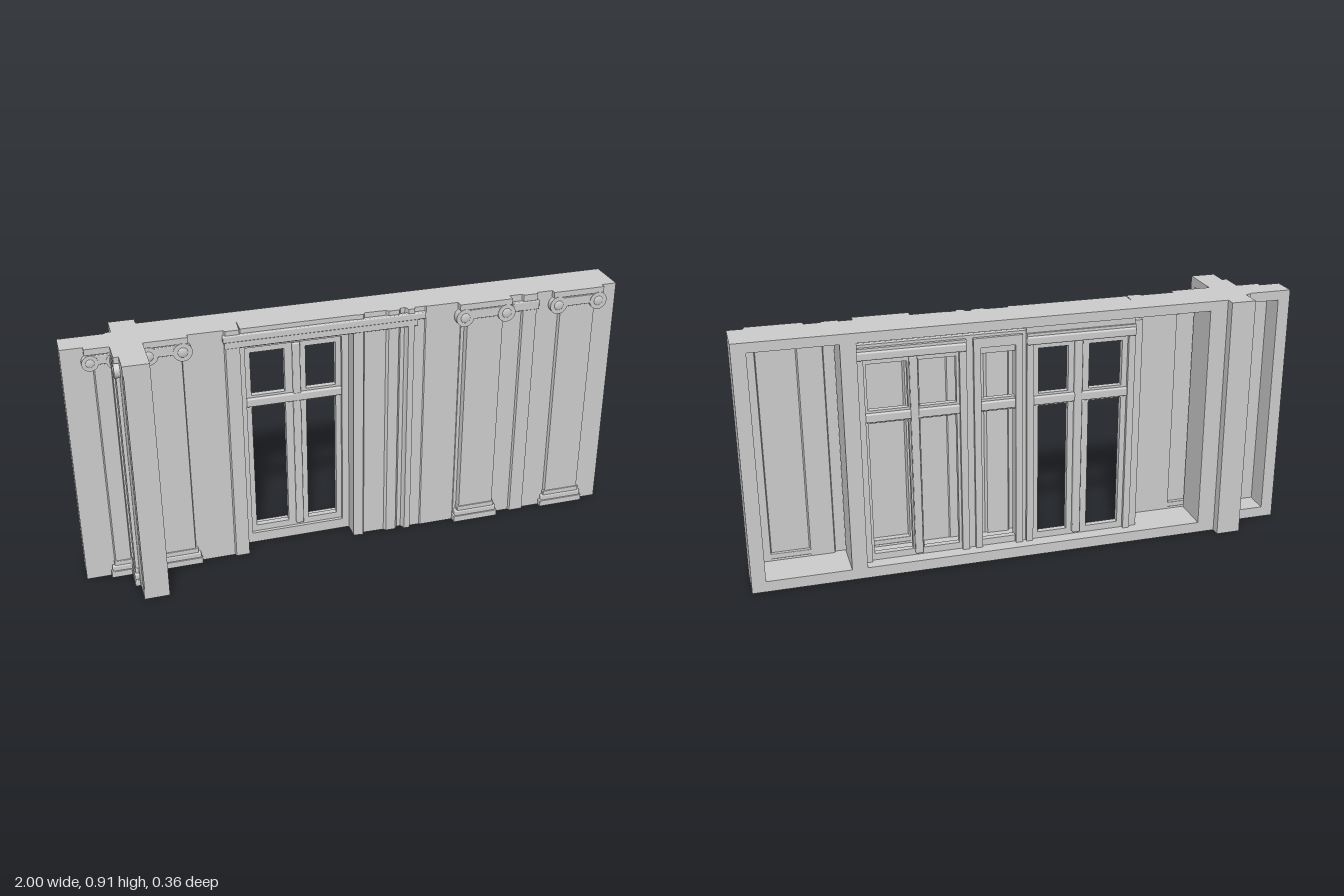
import * as THREE from 'three';
import { RoundedBoxGeometry } from 'three/addons/geometries/RoundedBoxGeometry.js';

const H = 0.91, RAIL = 0.04, TOP = 0.875;
const mat = new THREE.MeshStandardMaterial({ color: 0xcccccc });
const thin = new THREE.MeshStandardMaterial({ color: 0xcccccc, side: THREE.DoubleSide });

function add(parent, name, geo, material = mat) {
  const m = new THREE.Mesh(geo, material);
  m.name = name;
  parent.add(m);
  return m;
}

// Block given by its limits, optionally with rounded edges
function block(parent, name, x0, x1, y0, y1, z0, z1, r = 0) {
  const s = [x1 - x0, y1 - y0, z1 - z0];
  const g = r ? new RoundedBoxGeometry(...s, 2, r) : new THREE.BoxGeometry(...s);
  g.translate((x0 + x1) / 2, (y0 + y1) / 2, (z0 + z1) / 2);
  return add(parent, name, g);
}

// Thin upright skin following a plan profile of [x, z] points; steps behind the gap depth stay open
function skin(parent, profile, gapZ = -1) {
  const p = [];
  for (let i = 0; i < profile.length - 1; i++) {
    const [a, az] = profile[i], [b, bz] = profile[i + 1];
    if (az <= gapZ && bz <= gapZ) continue;
    p.push(a, RAIL, az, b, RAIL, bz, b, TOP, bz, a, RAIL, az, b, TOP, bz, a, TOP, az);
  }
  const g = new THREE.BufferGeometry();
  g.setAttribute('position', new THREE.Float32BufferAttribute(p, 3));
  g.computeVertexNormals();
  add(parent, 'reliefSkin', g, thin);
}

// Horizontal rail whose front edge follows the same profile
function rail(parent, name, profile, depth, y0, y1) {
  const pts = profile.map(([x, z]) => new THREE.Vector2(x, z));
  pts.push(new THREE.Vector2(profile[profile.length - 1][0], -depth), new THREE.Vector2(profile[0][0], -depth));
  const g = new THREE.ExtrudeGeometry(new THREE.Shape(pts), { depth: y1 - y0, bevelEnabled: false });
  g.rotateX(Math.PI / 2).translate(0, y1, 0);
  add(parent, name, g);
}

// Hollow panel: skin, top and bottom rails, upright stiles
function panel(name, profile, depth, stiles, gapZ) {
  const g = new THREE.Group();
  g.name = name;
  skin(g, profile, gapZ);
  rail(g, 'bottomRail', profile, depth, 0, RAIL);
  rail(g, 'topRail', profile, depth, TOP, H);
  stiles.forEach(([a, b]) => block(g, 'stile', a, b, RAIL, TOP, -depth, -0.003));
  return g;
}

// Scrolled capital and moulded base for a shaft from x0 to x1 with its face at z
function pilasterTrim(parent, x0, x1, z, flare = 0.025, r = 0.033) {
  const g = new THREE.Group();
  g.name = 'pilasterTrim';
  parent.add(g);
  for (const x of [x0 - flare + r * 0.6, x1 + flare - r * 0.6]) {
    const v = new THREE.CylinderGeometry(r, r, z + 0.012, 24);
    v.rotateX(Math.PI / 2).translate(x, 0.858, (z + 0.012) / 2 - 0.004);
    add(g, 'scroll', v);
    const eye = new THREE.SphereGeometry(r * 0.55, 16, 10);
    eye.scale(1, 1, 0.3).translate(x, 0.858, z + 0.007);
    add(g, 'scrollEye', eye);
  }
  block(g, 'capitalBand', x0 - 0.004, x1 + 0.004, 0.85, 0.885, 0, z + 0.006, 0.003);
  block(g, 'abacus', x0 - flare, x1 + flare, 0.888, H, 0, z + 0.006);
  block(g, 'plinth', x0 - 0.02, x1 + 0.02, 0, 0.026, 0, z + 0.008, 0.003);
  block(g, 'baseRoll', x0 - 0.015, x1 + 0.015, 0.024, 0.048, 0, z + 0.006, 0.006);
  block(g, 'baseNeck', x0 - 0.006, x1 + 0.006, 0.046, 0.066, 0, z + 0.003, 0.003);
}

// Plan profile bump for a strip or shaft
const bump = (a, b, z, base = 0) => [[a, base], [a + 0.004, z], [b - 0.004, z], [b, base]];

function rectHole(x0, x1, y0, y1) {
  const h = new THREE.Path();
  h.moveTo(x0, y0).lineTo(x0, y1).lineTo(x1, y1).lineTo(x1, y0).closePath();
  return h;
}

export function createModel() {
  const root = new THREE.Group();
  root.name = 'facadeWall';

  // Main wall with shafts, strips and the window recess
  const main = panel('mainWall', [
    [-0.73, 0], ...bump(-0.725, -0.6, 0.014), ...bump(-0.457, -0.4, 0.01).slice(0, 3),
    [-0.4, -0.06], [0, -0.06], [0, 0.004], [0.035, 0.008], [0.042, -0.005],
    [0.12, -0.003], [0.128, 0.006], [0.165, 0.006], [0.175, -0.008], [0.19, -0.008],
    ...bump(0.195, 0.225, 0.012), ...bump(0.262, 0.4, 0.003),
    ...bump(0.412, 0.555, 0.022), ...bump(0.63, 0.69, 0.01),
    ...bump(0.775, 0.917, 0.013), [1, 0],
  ], 0.145, [[-0.73, -0.665], [0.595, 0.65], [0.95, 1]], -0.05);
  root.add(main);
  pilasterTrim(main, -0.715, -0.6, 0.014, 0.02);
  pilasterTrim(main, 0.415, 0.552, 0.022, 0.03);
  pilasterTrim(main, 0.778, 0.914, 0.013, 0.03);

  // Lintel over the window and a small one over the right strip
  block(main, 'lintel', -0.4, 0.0, 0.84, H, -0.1, 0.004);
  block(main, 'lintelMoulding', -0.457, 0.235, 0.843, 0.87, -0.004, 0.012, 0.004);
  block(main, 'lintelCornice', -0.462, 0.262, 0.868, 0.893, -0.004, 0.016, 0.004);
  block(main, 'stripCap', 0.595, 0.695, 0.85, 0.885, -0.004, 0.014, 0.004);

  // Three-part window frame with a pane list of [x0, x1, y0, y1]
  const panes = [];
  for (const [a, b] of [[-0.355, -0.232], [-0.155, -0.045], [0.04, 0.165], [0.25, 0.38], [0.42, 0.56]]) {
    panes.push([a, b, 0.065, 0.565], [a, b, 0.612, 0.78]);
  }
  const win = new THREE.Group();
  win.name = 'window';
  root.add(win);
  const s = new THREE.Shape();
  s.moveTo(-0.43, 0.035).lineTo(0.6, 0.035).lineTo(0.6, 0.85).lineTo(-0.43, 0.85).closePath();
  panes.forEach((p) => s.holes.push(rectHole(...p)));
  const sash = new THREE.ExtrudeGeometry(s, { depth: 0.022, bevelEnabled: false });
  sash.translate(0, 0, -0.095);
  add(win, 'sashFrame', sash);

  // Raised mouldings around each light, front and back
  for (const [a, b] of [[-0.4, 0], [0.015, 0.19], [0.215, 0.595]]) {
    for (const z of [-0.108, -0.076]) {
      block(win, 'frameSide', a, a + 0.025, 0.04, 0.84, z, z + 0.016);
      block(win, 'frameSide', b - 0.025, b, 0.04, 0.84, z, z + 0.016);
      block(win, 'frameHead', a, b, 0.805, 0.84, z, z + 0.016);
      block(win, 'transom', a + 0.025, b - 0.025, 0.572, 0.604, z, z + 0.016, 0.005);
    }
    if (b - a > 0.3) {
      block(win, 'headMoulding', a, b, 0.8, 0.83, -0.118, -0.1, 0.006);
      const c = b < 0.1 ? -0.19 : 0.4;
      block(win, 'mullion', c - 0.014, c + 0.014, 0.05, 0.8, -0.112, -0.062, 0.005);
    }
  }

  // Low side panel at the far right end
  const end = panel('endPanel', [[-1, 0], ...bump(-0.897, -0.835, 0.012), [-0.82, 0]], 0.09, [[-1, -0.955]]);
  root.add(end);
  pilasterTrim(end, -0.893, -0.839, 0.012, 0.03, 0.028);

  // Cross wall: solid rear post and hollow front wing facing sideways
  block(root, 'crossPost', -0.82, -0.73, 0, H, -0.18, 0);
  block(root, 'crossPostBead', -0.84, -0.82, 0, H, -0.098, -0.088);
  const wing = panel('crossWing', [[0, 0], ...bump(0.02, 0.08, 0.012), [0.18, 0]], 0.09, [[0, 0.015], [0.147, 0.18]]);
  pilasterTrim(wing, 0.024, 0.076, 0.012, 0.028, 0.028);
  wing.rotation.y = -Math.PI / 2;
  wing.position.x = -0.82;
  root.add(wing);

  return root;
}
